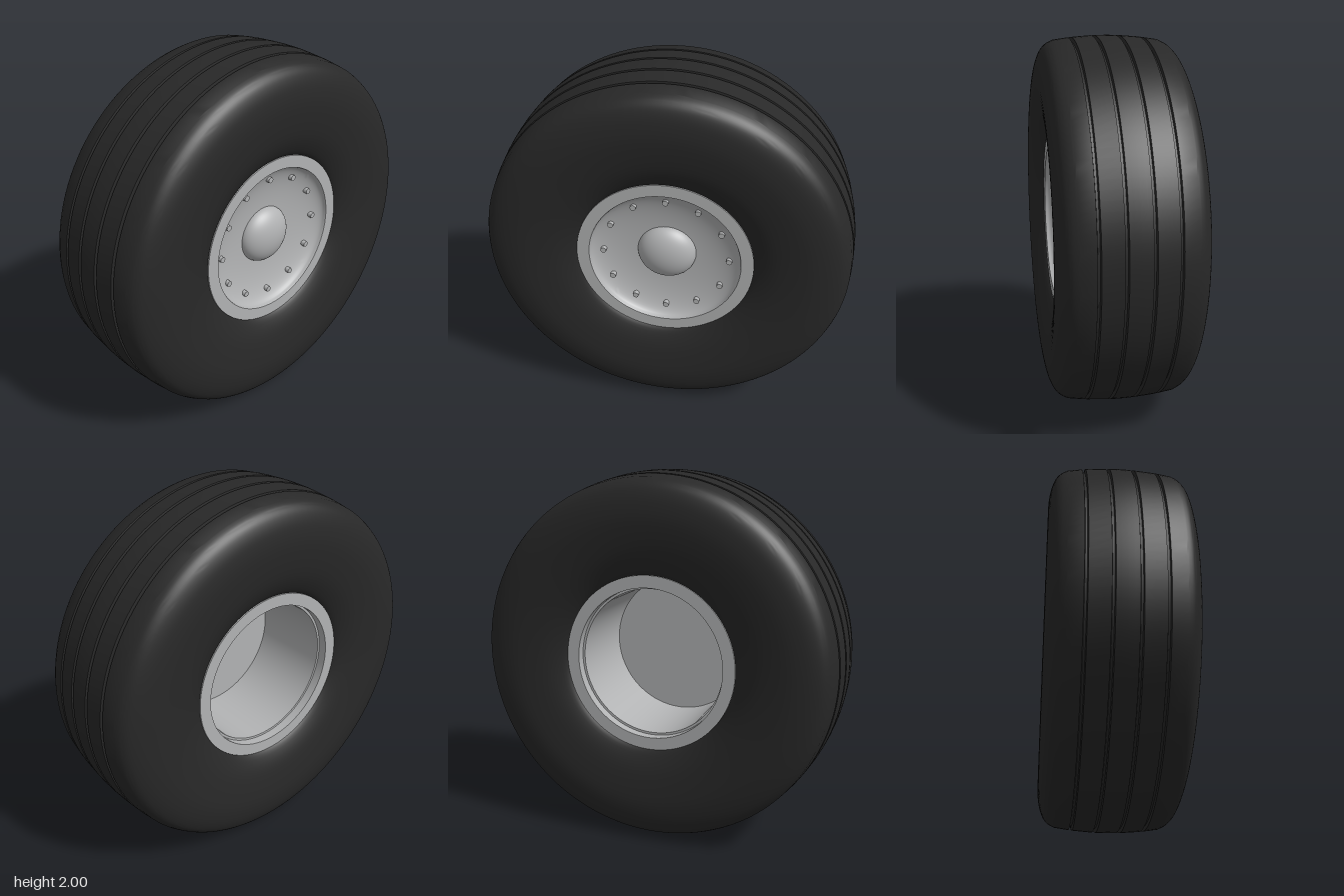
import * as THREE from 'three';
import { toCreasedNormals } from 'three/addons/utils/BufferGeometryUtils.js';

const V = (r, x) => new THREE.Vector2(r, x);

// Revolve a (radius, axial) profile around the wheel axle, which lies along x
function revolve(points, crease = 0.5) {
  const geo = new THREE.LatheGeometry(points, 128);
  geo.rotateZ(-Math.PI / 2);
  return toCreasedNormals(geo, crease);
}

export function createModel() {
  const rubber = new THREE.MeshStandardMaterial({ color: 0x282828 });
  rubber.name = 'black rubber';
  const metal = new THREE.MeshStandardMaterial({ color: 0xb2b3b4 });
  metal.name = 'grey metal';

  const model = new THREE.Group();
  model.name = 'wheel';
  const wheel = new THREE.Group();
  wheel.name = 'wheelAssembly';
  wheel.position.y = 1;
  model.add(wheel);

  const add = (name, geo, mat, parent = wheel) => {
    const mesh = new THREE.Mesh(geo, mat);
    mesh.name = name;
    parent.add(mesh);
    return mesh;
  };

  // Tyre: rounded sidewalls joined by a slightly crowned tread with four grooves
  const sidewall = new THREE.SplineCurve([
    V(0.46, 0.27), V(0.5, 0.31), V(0.6, 0.35), V(0.75, 0.37), V(0.85, 0.363),
    V(0.92, 0.341), V(0.957, 0.312), V(0.977, 0.275),
  ]).getPoints(36);
  const crown = (x) => 1 - 0.3 * x * x;
  const tread = [];
  for (const g of [-0.19, -0.065, 0.065, 0.19]) {
    const w = 0.009, depth = 0.02;
    tread.push(V(crown(g - w), g - w), V(crown(g) - depth, g - w * 0.6),
      V(crown(g) - depth, g + w * 0.6), V(crown(g + w), g + w));
    if (g === -0.065) tread.push(V(crown(0.03), -0.03), V(1, 0), V(crown(0.03), 0.03));
  }
  const lower = sidewall.map((p) => V(p.x, -p.y));
  const upper = [...sidewall].reverse();
  add('tyre', revolve([...lower, ...tread, ...upper]), rubber);

  // Rim: outer flange, concave dish, then the back of the disc and the open barrel
  const dish = [];
  for (let i = 0; i <= 16; i++) {
    const a = (i / 16) * Math.PI / 2;
    dish.push(V(0.1 + 0.308 * Math.cos(a), 0.294 - 0.087 * Math.sin(a)));
  }
  add('rim', revolve([
    V(0.478, 0.26), V(0.478, 0.3), V(0.411, 0.3), ...dish, V(0, 0.207),
  ]), metal);
  add('barrel', revolve([
    V(0, 0.195), V(0.393, 0.195), V(0.398, -0.25), V(0.411, -0.25),
    V(0.411, -0.3), V(0.478, -0.3), V(0.478, -0.26),
  ]), metal);

  // Domed hub cap
  const dome = new THREE.SphereGeometry(0.16, 48, 16, 0, Math.PI * 2, 0, Math.PI / 2);
  dome.scale(1, 0.58, 1);
  dome.rotateZ(-Math.PI / 2);
  add('hubCap', dome, metal).position.x = 0.205;

  // Ring of twelve bolts
  const bolts = new THREE.Group();
  bolts.name = 'bolts';
  wheel.add(bolts);
  const boltGeo = new THREE.CylinderGeometry(0.016, 0.017, 0.035, 12);
  boltGeo.rotateZ(-Math.PI / 2);
  for (let i = 0; i < 12; i++) {
    const a = (i / 12) * Math.PI * 2;
    add('bolt', boltGeo, metal, bolts)
      .position.set(0.243, 0.343 * Math.cos(a), 0.343 * Math.sin(a));
  }
  return model;
}
